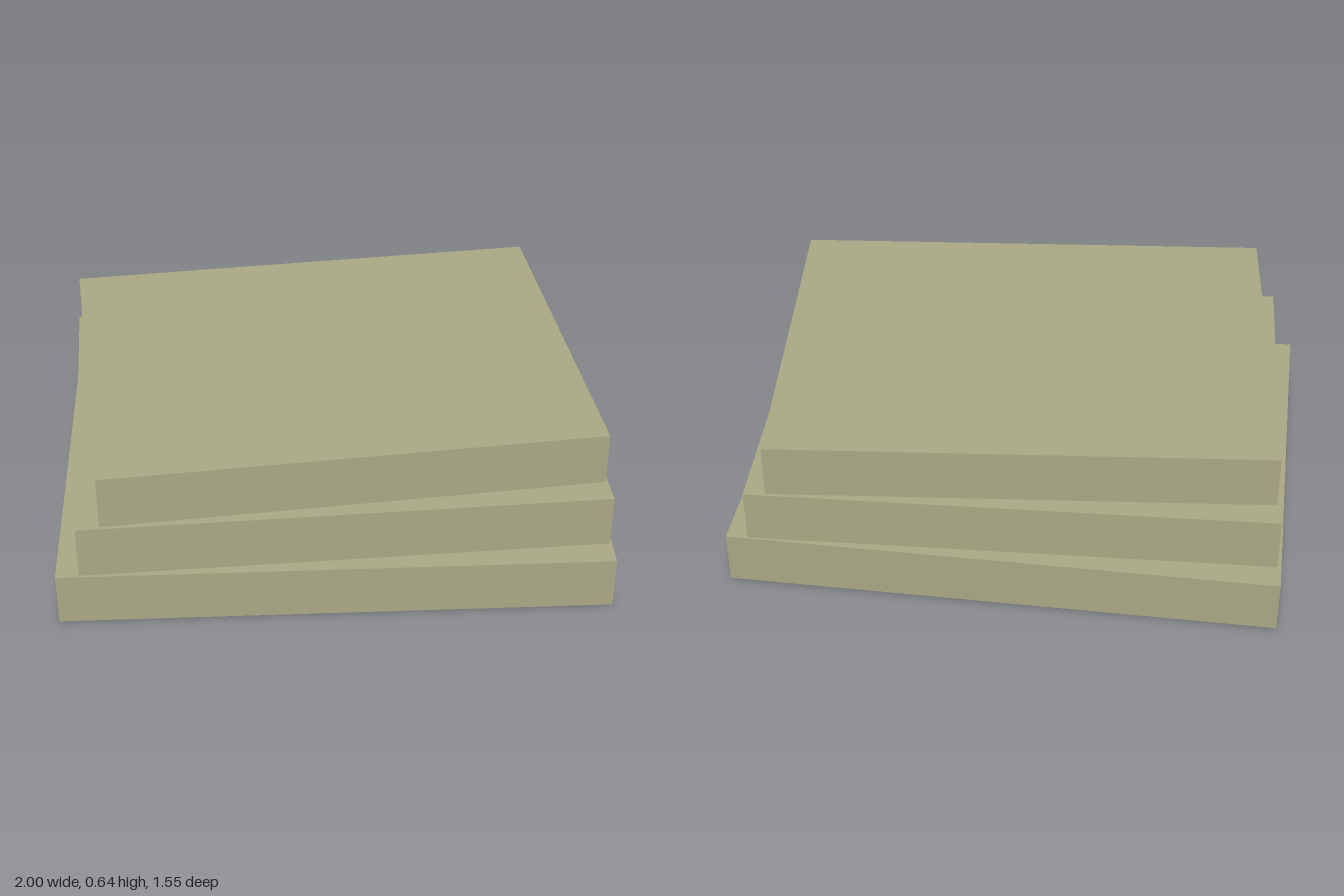
import * as THREE from 'three';

// Three separate slabs, each smaller and turned a little further than the one below.
const SLABS = [
  { name: 'bottomSlab', width: 2.0, depth: 1.5, turn: 0 },
  { name: 'middleSlab', width: 1.9, depth: 1.44, turn: 0.05 },
  { name: 'topSlab', width: 1.8, depth: 1.38, turn: 0.1 },
];
const THICKNESS = 0.2;
const GAP = 0.02;

export function createModel() {
  const model = new THREE.Group();
  model.name = 'slabStack';
  const stone = new THREE.MeshStandardMaterial({ color: 0xaaa985 });
  stone.name = 'khaki stone';

  SLABS.forEach(({ name, width, depth, turn }, i) => {
    const slab = new THREE.Mesh(new THREE.BoxGeometry(width, THICKNESS, depth), stone);
    slab.name = name;
    slab.position.y = THICKNESS / 2 + i * (THICKNESS + GAP);
    slab.rotation.y = turn;
    model.add(slab);
  });
  return model;
}
